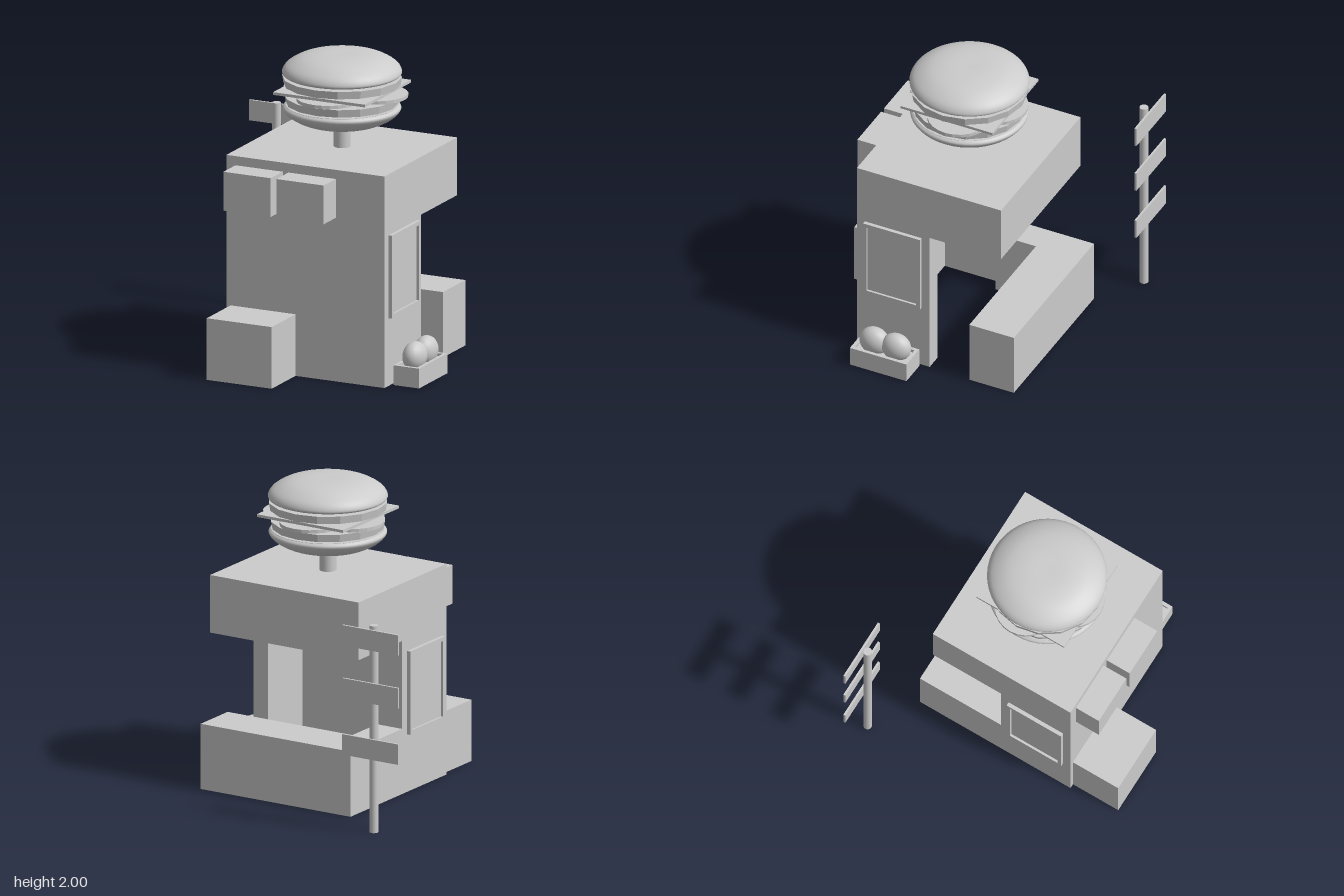
import * as THREE from 'three';

const mat = new THREE.MeshStandardMaterial({ color: 0xcccccc });
const flat = new THREE.MeshStandardMaterial({ color: 0xcccccc, flatShading: true });

export function createModel() {
  const root = new THREE.Group();

  function add(name, geo, x = 0, y = 0, z = 0, material = mat, parent = root) {
    const m = new THREE.Mesh(geo, material);
    m.name = name;
    m.position.set(x, y, z);
    parent.add(m);
    return m;
  }
  // Box given by its extents on each axis
  function box(name, x0, x1, y0, y1, z0, z1, parent = root) {
    return add(name, new THREE.BoxGeometry(x1 - x0, y1 - y0, z1 - z0),
      (x0 + x1) / 2, (y0 + y1) / 2, (z0 + z1) / 2, mat, parent);
  }
  // Outline in plan (x, z), extruded upwards; holes are outlines too
  function prism(name, outline, y0, y1, holes = []) {
    const pts = (o) => o.map(([x, z]) => new THREE.Vector2(x, -z));
    const shape = new THREE.Shape(pts(outline));
    holes.forEach((h) => shape.holes.push(new THREE.Path(pts(h))));
    const geo = new THREE.ExtrudeGeometry(shape, { depth: y1 - y0, bevelEnabled: false });
    geo.rotateX(-Math.PI / 2);
    return add(name, geo, 0, y0, 0);
  }

  // Kiosk: three walls around an open interior, deep roof, L-shaped counter
  prism('walls', [[-0.41, 0], [-0.41, 0.515], [0.71, 0.515], [0.71, 0],
    [0.6, 0], [0.6, 0.4], [-0.3, 0.4], [-0.3, 0]], 0, 1.01);
  box('roof', -0.41, 0.71, 1.01, 1.39, -0.505, 0.515);
  prism('counter', [[-0.41, 0], [-0.22, 0], [-0.22, -0.285], [0.72, -0.285],
    [0.72, -0.6], [-0.41, -0.6]], 0, 0.43);

  // Boxes on the front
  box('frontCrate', -0.38, 0.08, 0, 0.405, 0.515, 0.85);
  box('frontUnitRight', -0.345, -0.01, 1.075, 1.33, 0.515, 0.685);
  box('frontUnitLeft', 0.03, 0.365, 1.075, 1.33, 0.515, 0.685);

  // Framed menu boards on both sides
  function menuBoard(name, side, wallX, y0, y1) {
    const g = new THREE.Group();
    g.name = name;
    root.add(g);
    const t = 0.025, w = 0.026, z0 = 0.057, z1 = 0.46;
    const span = (d) => [Math.min(wallX, wallX + side * d), Math.max(wallX, wallX + side * d)];
    const [a, b] = span(t);
    box('frameBottom', a, b, y0, y0 + w, z0, z1, g);
    box('frameTop', a, b, y1 - w, y1, z0, z1, g);
    box('frameBack', a, b, y0 + w, y1 - w, z0, z0 + w, g);
    box('frameFront', a, b, y0 + w, y1 - w, z1 - w, z1, g);
    box('menuPanel', ...span(0.01), y0 + w, y1 - w, z0 + w, z1 - w, g);
  }
  menuBoard('leftMenuBoard', 1, 0.71, 0.445, 0.99);
  menuBoard('rightMenuBoard', -1, -0.41, 0.38, 0.93);

  // Planter with two round bushes
  prism('planter', [[0.743, 0.057], [0.743, 0.457], [0.925, 0.457], [0.925, 0.057]], 0.01, 0.14,
    [[[0.766, 0.08], [0.902, 0.08], [0.902, 0.434], [0.766, 0.434]]]);
  box('planterSoil', 0.766, 0.902, 0.01, 0.12, 0.08, 0.434);
  for (const z of [0.175, 0.33]) {
    add('bush', new THREE.SphereGeometry(1, 20, 14), 0.832, 0.18, z).scale.set(0.074, 0.095, 0.1);
  }

  // Signpost
  add('signPost', new THREE.CylinderGeometry(0.028, 0.028, 1.365, 20), -0.717, 0.6825, -0.8);
  for (const y of [0.49, 0.86, 1.21]) box('signBoard', -0.93, -0.51, y, y + 0.135, -0.85, -0.836);

  // Rooftop burger on a pole
  const burger = new THREE.Group();
  burger.name = 'burger';
  burger.position.set(0.15, 0, 0);
  root.add(burger);

  // Bun: smooth curve through profile points
  function bun(name, profile) {
    const curve = new THREE.SplineCurve(profile.map(([r, y]) => new THREE.Vector2(r, y)));
    const pts = curve.getPoints(32);
    pts.forEach((p) => { p.x = Math.max(p.x, 0); });
    add(name, new THREE.LatheGeometry(pts, 48), 0, 0, 0, mat, burger);
  }
  const disc = (name, rTop, rBottom, y0, y1, sides, x = 0, z = 0) =>
    add(name, new THREE.CylinderGeometry(rTop, rBottom, y1 - y0, sides), x, (y0 + y1) / 2, z, flat, burger);

  add('pole', new THREE.CylinderGeometry(0.053, 0.053, 0.16, 24), 0, 1.46, 0, mat, burger);
  bun('bottomBun', [[0, 1.53], [0.13, 1.531], [0.24, 1.55], [0.33, 1.592], [0.374, 1.638],
    [0.36, 1.664], [0.32, 1.667], [0, 1.665]]);
  disc('lowerPatty', 0.367, 0.357, 1.676, 1.727, 16);
  for (const [x, z] of [[-0.205, -0.03], [0.225, -0.04], [0, -0.195], [0, 0.195]]) {
    disc('tomatoSlice', 0.2, 0.2, 1.736, 1.758, 24, x, z);
  }
  box('cheese', -0.325, 0.325, 1.766, 1.784, -0.325, 0.325, burger);
  disc('upperPatty', 0.38, 0.372, 1.8, 1.85, 16);
  bun('topBun', [[0, 1.86], [0.3, 1.86], [0.36, 1.862], [0.38, 1.883], [0.35, 1.93],
    [0.26, 1.978], [0.14, 1.999], [0, 2.0]]);

  return root;
}
